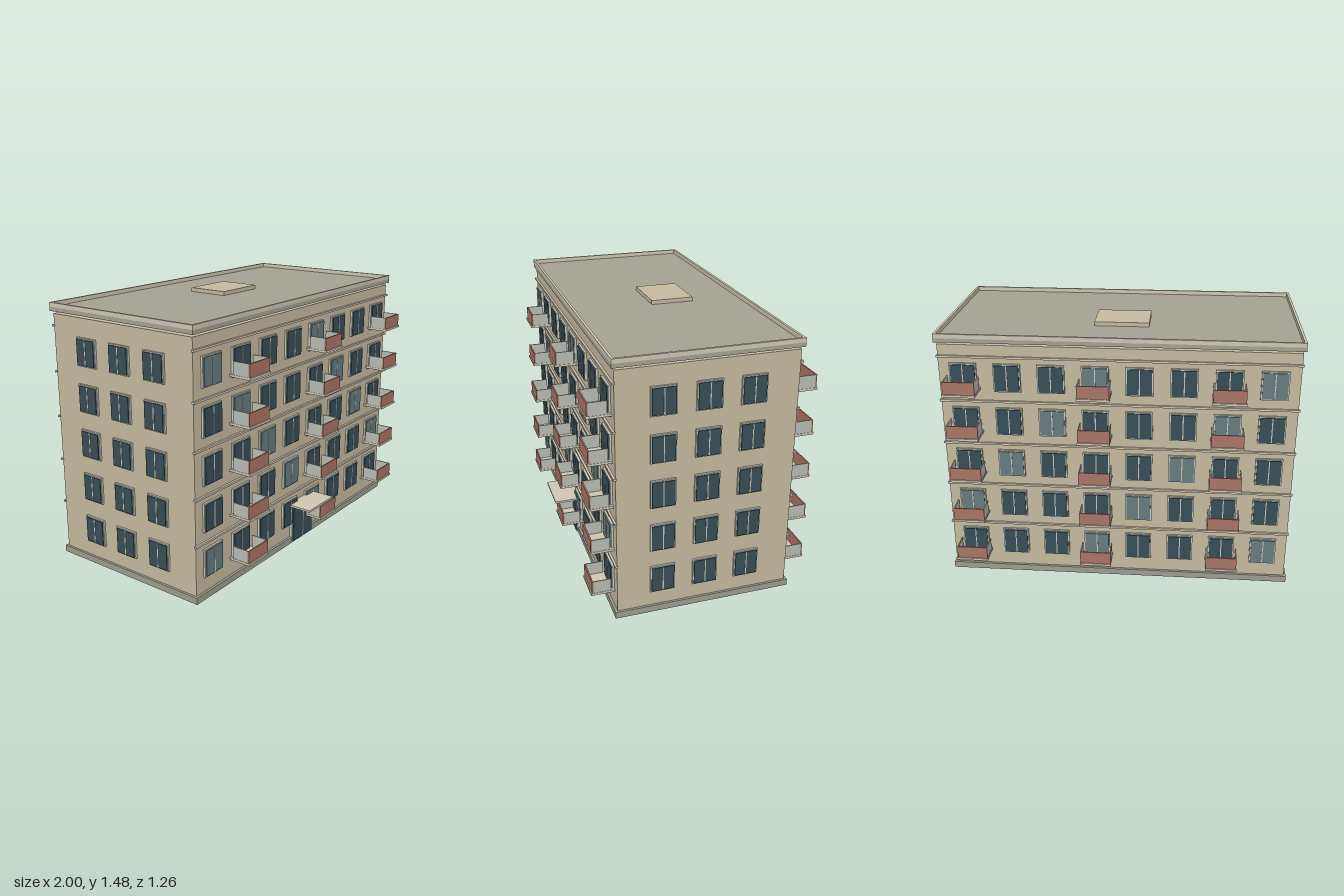
import * as THREE from 'three';

const mat = (color) => new THREE.MeshStandardMaterial({ color });
const WALL = mat(0xc4b99f), STONE = mat(0x9c9d8e), TRIM = mat(0xcfc6b2), ROOF = mat(0xa2a193);
const GLASS = mat(0x384d55), PALE_GLASS = mat(0x667b7e), FRAME = mat(0xc3c5bb);
const BRICK = mat(0xa87565), SIDE_PANEL = mat(0xb8bbb3);

const FLOORS = 5, FLOOR_H = 0.2575;
const HALF_X = 0.98, HALF_Z = 0.4875; // wall half sizes
const CENTRE_Z = -0.0125;             // the front canopy shifts the block back

// Box given by its min and max along each axis
function box(parent, name, material, [x0, x1], [y0, y1], [z0, z1]) {
  const mesh = new THREE.Mesh(new THREE.BoxGeometry(x1 - x0, y1 - y0, z1 - z0), material);
  mesh.position.set((x0 + x1) / 2, (y0 + y1) / 2, (z0 + z1) / 2);
  mesh.name = name;
  parent.add(mesh);
  return mesh;
}

// Window on a wall at z = 0, facing +z, centred on its origin
function makeWindow(w, h, pale) {
  const g = new THREE.Group();
  g.name = 'window';
  const x = w / 2, y = h / 2, t = 0.007;
  box(g, 'windowFrame', FRAME, [-x, x], [-y, y], [-0.004, 0.012]);
  box(g, 'windowGlass', pale ? PALE_GLASS : GLASS, [-x + t, x - t], [-y + t, y - t], [0, 0.018]);
  box(g, 'windowMullion', FRAME, [-0.003, 0.003], [-y + t, y - t], [0, 0.02]);
  return g;
}

// Balcony on a wall at z = 0; its origin is the underside of the slab
function makeBalcony() {
  const g = new THREE.Group();
  g.name = 'balcony';
  box(g, 'balconySlab', TRIM, [-0.09, 0.09], [0, 0.013], [0, 0.132]);
  box(g, 'balconyFront', BRICK, [-0.088, 0.088], [0.013, 0.085], [0.118, 0.126]);
  for (const s of [-1, 1]) {
    const x = s * 0.085;
    box(g, 'balconySide', SIDE_PANEL, [x - 0.003, x + 0.003], [0.013, 0.085], [0.022, 0.118]);
  }
  return g;
}

// Long facade; columns run along world x, so the back one is reversed by its rotation
function makeFacade(dir) {
  const g = new THREE.Group();
  g.name = dir > 0 ? 'frontFacade' : 'backFacade';
  for (let f = 0; f < FLOORS; f++) {
    const base = f * FLOOR_H;
    for (let c = 0; c < 8; c++) {
      const x = dir * (-0.845 + c * 0.2414);
      const win = makeWindow(0.15, 0.162, (c + f) % 4 === 0);
      win.position.set(x, base + 0.204, 0);
      g.add(win);
      if (c % 3 === 1) {
        const balcony = makeBalcony();
        balcony.position.set(x, base + 0.132, 0);
        g.add(balcony);
      }
    }
    // String course above each floor
    box(g, 'floorBand', TRIM, [-0.987, 0.987], [base + 0.316, base + 0.327], [-0.004, 0.012]);
  }
  g.position.z = dir * HALF_Z;
  g.rotation.y = dir > 0 ? 0 : Math.PI;
  return g;
}

// End wall with three columns of windows
function makeEnd(dir) {
  const g = new THREE.Group();
  g.name = dir > 0 ? 'leftEnd' : 'rightEnd';
  for (let f = 0; f < FLOORS; f++) {
    for (let c = -1; c <= 1; c++) {
      const win = makeWindow(0.138, 0.157, false);
      win.position.set(c * 0.239, 0.205 + f * FLOOR_H, 0);
      g.add(win);
    }
  }
  g.position.x = dir * HALF_X;
  g.rotation.y = dir * Math.PI / 2;
  return g;
}

function makeEntrance() {
  const g = new THREE.Group();
  g.name = 'entrance';
  box(g, 'doorFrame', FRAME, [-0.108, 0.108], [0.005, 0.245], [0, 0.018]);
  box(g, 'doorGlass', GLASS, [-0.1, 0.1], [0.012, 0.237], [0, 0.026]);
  box(g, 'doorMullion', FRAME, [-0.003, 0.003], [0.012, 0.237], [0, 0.028]);
  box(g, 'canopy', TRIM, [-0.132, 0.128], [0.245, 0.257], [0, 0.152]);
  g.position.z = HALF_Z;
  return g;
}

function makeRoof() {
  const g = new THREE.Group();
  g.name = 'roof';
  const X = 0.993, Z = 0.502, t = 0.014, y0 = 1.455, y1 = 1.479;
  box(g, 'roofSlab', ROOF, [-X, X], [1.432, y0], [-Z, Z]);
  for (const s of [-1, 1]) {
    const z = s * (Z - t / 2), x = s * (X - t / 2);
    box(g, 'longParapet', TRIM, [-X, X], [y0, y1], [z - t / 2, z + t / 2]);
    box(g, 'endParapet', TRIM, [x - t / 2, x + t / 2], [y0, y1], [-Z + t, Z - t]);
  }
  box(g, 'roofHatch', WALL, [-0.156, 0.152], [y0, y1 - 0.001], [-0.21, 0.035]);
  return g;
}

export function createModel() {
  const model = new THREE.Group();
  model.name = 'apartmentBlock';
  box(model, 'plinth', STONE, [-0.993, 0.993], [0, 0.038], [-0.502, 0.502]);
  box(model, 'walls', WALL, [-HALF_X, HALF_X], [0.038, 1.418], [-HALF_Z, HALF_Z]);
  for (const dir of [1, -1]) model.add(makeFacade(dir), makeEnd(dir));
  model.add(makeEntrance(), makeRoof());
  for (const part of model.children) part.position.z += CENTRE_Z;
  return model;
}
